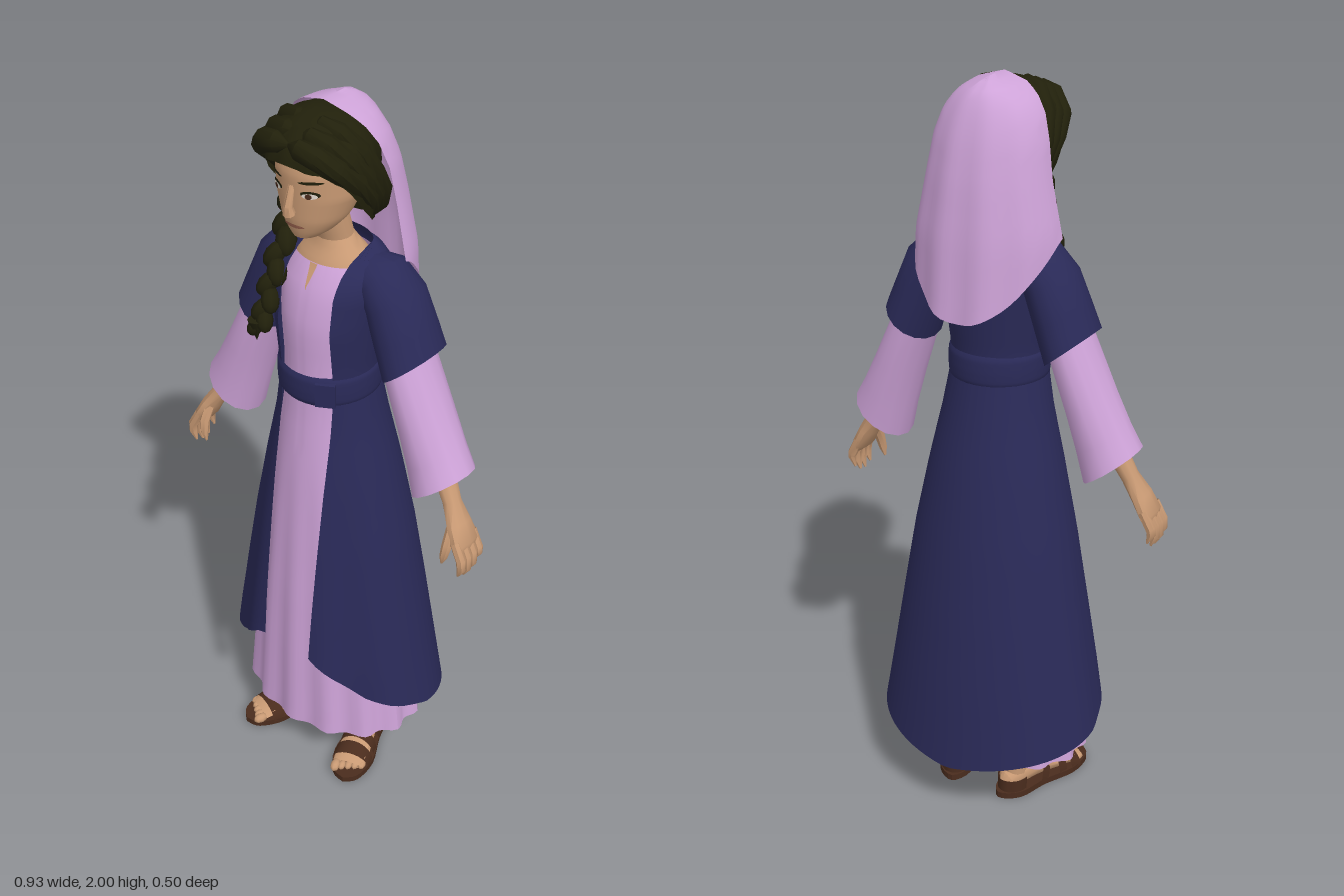
import * as THREE from 'three';
import { toCreasedNormals } from 'three/addons/utils/BufferGeometryUtils.js';

const mat = (name, color) => new THREE.MeshStandardMaterial({ name, color, side: THREE.DoubleSide });
const mix = (a, b, t) => a + (b - a) * t;
const { sin, cos, PI, min, max } = Math;

// Surface from a rule (u, v) -> [x, y, z]
function grid(nu, nv, fn, crease = 0.6) {
  const pos = [], idx = [];
  for (let j = 0; j <= nv; j++) for (let i = 0; i <= nu; i++) pos.push(...fn(i / nu, j / nv));
  for (let j = 0; j < nv; j++) for (let i = 0; i < nu; i++) {
    const a = j * (nu + 1) + i, c = a + nu + 1;
    idx.push(a, a + 1, c + 1, a, c + 1, c);
  }
  const g = new THREE.BufferGeometry();
  g.setAttribute('position', new THREE.Float32BufferAttribute(pos, 3));
  g.setIndex(idx);
  return toCreasedNormals(g, crease);
}

// Interpolate a table whose first column rises
function at(rows, y) {
  let i = 0;
  while (i < rows.length - 2 && y > rows[i + 1][0]) i++;
  const a = rows[i], b = rows[i + 1], t = min(1, max(0, (y - a[0]) / (b[0] - a[0])));
  return a.map((p, k) => mix(p, b[k], t));
}

// Point on an upright shell; rows are [y, halfWidth, zFront, zBack], angle 0 faces front
function shellPoint(rows, a, y, k = 1) {
  const [, hx, zf, zb] = at(rows, y);
  return [hx * k * sin(a), y, (zf + zb) / 2 + (zf - zb) / 2 * k * cos(a)];
}
const shell = (rows, nu, nv, ripple = () => 1) => grid(nu, nv, (u, v) => {
  const a = u * 2 * PI, y = mix(rows[0][0], rows[rows.length - 1][0], v);
  return shellPoint(rows, a, y, ripple(a, y));
});

// Tube along points [x, y, z, r1, r2, skew]
function limb(pts, n = 10, ref = [0, 0, 1]) {
  const P = pts.map(p => new THREE.Vector3(p[0], p[1], p[2])), R = new THREE.Vector3(...ref);
  const frames = P.map((p, i) => {
    const t = P[min(i + 1, P.length - 1)].clone().sub(P[max(i - 1, 0)]).normalize();
    const e1 = R.clone().cross(t).normalize();
    return [t, e1, t.clone().cross(e1)];
  });
  return grid(n, pts.length - 1, (u, v) => {
    const i = Math.round(v * (pts.length - 1)), [t, e1, e2] = frames[i], a = u * 2 * PI;
    const [, , , r1, r2 = r1, skew = 0] = pts[i];
    return P[i].clone().addScaledVector(e1, r1 * cos(a)).addScaledVector(e2, r2 * sin(a))
      .addScaledVector(t, skew * cos(a)).toArray();
  }, 0.8);
}
const flip = (s, pts) => pts.map(([x, y, z, r1, r2 = r1, k = 0]) => [x * s, y, z, r1, r2, k * s]);

export function createModel() {
  const root = new THREE.Group();
  const skin = mat('skin', 0xc99a74), lilac = mat('lilac cloth', 0xcea3d8), navy = mat('navy cloth', 0x2a2a58),
    hair = mat('dark hair', 0x21200b), leather = mat('brown leather', 0x4a2c1d),
    white = mat('eye white', 0xe6ddd2), lip = mat('lip', 0x9c6450);
  const add = (name, geo, m, parent = root) => {
    const mesh = new THREE.Mesh(geo, m);
    mesh.name = name;
    parent.add(mesh);
    return mesh;
  };

  // Head, nose and neck
  const headRows = [[1.683, 0, 0.13, 0.11], [1.69, 0.03, 0.155, 0.07], [1.71, 0.056, 0.163, 0.04], [1.74, 0.08, 0.17, 0],
    [1.8, 0.102, 0.174, -0.04], [1.86, 0.106, 0.178, -0.055], [1.92, 0.1, 0.165, -0.06], [1.96, 0.05, 0.1, -0.03]];
  add('head', shell(headRows, 28, 26), skin);
  add('nose', limb([[0, 1.835, 0.172, 0.008], [0, 1.785, 0.186, 0.011, 0.012], [0, 1.767, 0.184, 0.017, 0.014],
    [0, 1.756, 0.172, 0]], 8), skin);
  const neckRows = [[1.56, 0.12, 0.105, -0.075], [1.6, 0.098, 0.09, -0.055], [1.625, 0.07, 0.075, -0.04],
    [1.65, 0.046, 0.068, -0.025], [1.74, 0.041, 0.1, 0]];
  add('neck', shell(neckRows, 18, 12), skin);

  // Painted face details laid on the head surface
  const decal = (name, m, cx, cy, rx, ry, lift, slope = 0) => add(name, grid(14, 3, (u, v) => {
    const a = u * 2 * PI, dx = rx * (1 - v) * cos(a), x = cx + dx, y = cy + ry * (1 - v) * sin(a) + slope * dx;
    const p = shellPoint(headRows, Math.asin(x / at(headRows, y)[1]), y);
    return [x, y, p[2] + lift];
  }), m);
  for (const s of [1, -1]) {
    decal('eyeLash', hair, s * 0.047, 1.821, 0.021, 0.009, 0.003);
    decal('eyeWhite', white, s * 0.047, 1.818, 0.017, 0.007, 0.005);
    decal('iris', leather, s * 0.046, 1.818, 0.007, 0.007, 0.007);
    decal('eyebrow', hair, s * 0.049, 1.851, 0.026, 0.004, 0.004, s * 0.05);
  }
  decal('mouth', lip, 0, 1.73, 0.03, 0.005, 0.004);

  // Skullcap of hair with a swept hairline
  const hairEdge = [[0, 1.895], [0.7, 1.88], [1.1, 1.845], [1.5, 1.775], [1.9, 1.72], [3.2, 1.68]];
  add('hair', grid(48, 14, (u, v) => {
    const a = u * 2 * PI, low = at(hairEdge, min(a, 2 * PI - a))[1], y = mix(low, 1.988, sin(v * PI / 2));
    const d = y - 1.87, r = d > 0 ? Math.sqrt(max(0, 1 - (d / 0.118) ** 2)) : 1 - 4 * d * d;
    const k = r * (1 + 0.02 * cos(14 * a));
    return [0.135 * k * sin(a), y, 0.068 + 0.132 * k * cos(a)];
  }), hair);
  // Locks swept back from the centre parting
  for (const s of [1, -1]) for (let k = 0; k < 3; k++) {
    const dz = -0.04 * k, dy = 0.013 * k;
    add('hairLock', limb(flip(s, [[0.002, 1.935 + dy, 0.18 + dz, 0.006], [0.03, 1.935 + dy, 0.184 + dz, 0.026, 0.022],
      [0.07, 1.924 + dy, 0.175 + dz, 0.03, 0.026], [0.108, 1.893 + dy * 0.6, 0.145 + dz, 0.026, 0.027],
      [0.124, 1.85, 0.095 + dz * 0.8, 0.023, 0.027], [0.12, 1.795, 0.045 + dz * 0.6, 0.023, 0.025],
      [0.105, 1.745, 0.012 + dz * 0.4, 0.018], [0.09, 1.71, -0.005 + dz * 0.2, 0.002]]), 9), hair);
  }
  // Side braid made of alternating plaits
  const braidPath = new THREE.CatmullRomCurve3([[-0.112, 1.76, 0.02], [-0.113, 1.67, 0.045], [-0.1, 1.57, 0.12],
    [-0.095, 1.47, 0.17], [-0.106, 1.4, 0.19]].map(p => new THREE.Vector3(...p)));
  for (let i = 0; i < 13; i++) {
    const p = braidPath.getPoint(i / 13), r = mix(0.034, 0.022, i / 12), s = i % 2 ? 1 : -1;
    const plait = add('braidPlait', new THREE.SphereGeometry(r, 8, 6), hair);
    plait.position.set(p.x + s * 0.009, p.y, p.z);
    plait.scale.set(0.9, 1.4, 1);
    plait.rotation.set(-0.5, 0, s * 0.4);
  }
  const tail = add('braidEnd', new THREE.ConeGeometry(0.022, 0.06, 8), hair);
  tail.position.set(-0.107, 1.412, 0.19);
  tail.rotation.x = PI;

  // Veil, open at the front and pointed at the back; rows are [y, halfWidth, zEdge, zBack]
  const veilRows = [[1.43, 0.2, -0.005, -0.176], [1.63, 0.195, 0, -0.16], [1.77, 0.165, 0, -0.14], [1.86, 0.15, 0.01, -0.12],
    [1.92, 0.13, 0.025, -0.1], [1.96, 0.1, 0.04, -0.08], [1.985, 0.06, 0.055, -0.06], [2, 0, 0.06, -0.015]];
  add('veil', grid(28, 18, (u, v) => {
    const a = mix(PI / 2, 1.5 * PI, u), c = max(0, -cos(a)), y = mix(1.63 - 0.2 * c ** 1.4, 2, 1 - (1 - v) ** 1.4);
    const [, hx, ze, zb] = at(veilRows, y);
    return [hx * sin(a), y, mix(ze, zb, c) + 0.006 * (1 - v) * cos(10 * a) * c];
  }), lilac);

  // Gown with a rippled hem
  const gownRows = [[0.15, 0.262, 0.22, -0.175], [0.4, 0.236, 0.212, -0.168], [0.6, 0.21, 0.203, -0.155], [0.8, 0.182, 0.19, -0.135],
    [1, 0.15, 0.175, -0.11], [1.2, 0.118, 0.155, -0.078], [1.32, 0.114, 0.152, -0.075], [1.45, 0.125, 0.155, -0.085],
    [1.55, 0.133, 0.132, -0.085], [1.6, 0.105, 0.1, -0.065]];
  add('gown', shell(gownRows, 84, 32, (a, y) => 1 + 0.045 * max(0, 1 - y / 1.1) * cos(14 * a)), lilac);
  add('necklineSlit', grid(2, 6, (u, v) => {
    const y = mix(1.54, 1.602, v);
    return [0.005 + (u - 0.5) * 0.022 * v, y, at(gownRows, y)[2] + 0.005];
  }), skin);

  // Open overcoat: bodice and skirt share a front gap
  const gap = hx => [Math.asin(min(1, 0.085 / hx)), 2 * PI - Math.asin(min(1, 0.065 / hx))];
  const bodiceRows = [[1.26, 0.125, 0.166, -0.085], [1.32, 0.125, 0.168, -0.085], [1.45, 0.14, 0.175, -0.1],
    [1.55, 0.155, 0.152, -0.103], [1.6, 0.145, 0.112, -0.092], [1.635, 0.085, 0.05, -0.06]];
  add('coatBodice', grid(36, 16, (u, v) => {
    const y = mix(1.26, 1.635, v), [a0, a1] = gap(at(bodiceRows, y)[1]);
    return shellPoint(bodiceRows, mix(a0, a1, u), y);
  }), navy);
  const coatRows = [[0.17, 0.33, 0.262, -0.25], [0.4, 0.29, 0.255, -0.227], [0.6, 0.256, 0.237, -0.203], [0.8, 0.222, 0.215, -0.175],
    [1, 0.18, 0.192, -0.14], [1.15, 0.145, 0.172, -0.108], [1.26, 0.125, 0.166, -0.088]];
  const hemRows = [[0, 0.47], [0.3, 0.46], [0.85, 0.33], [1.57, 0.25], [3.15, 0.17]];
  add('coatSkirt', grid(72, 18, (u, v) => {
    const [a0, a1] = gap(at(coatRows, mix(0.46, 1.26, v))[1]), a = mix(a0, a1, u);
    const y = mix(at(hemRows, min(a, 2 * PI - a))[1], 1.26, v);
    const fold = -0.05 * max(0, cos(a)) * (1 - v) * cos(8 * a);
    return shellPoint(coatRows, a, y, 1 + fold);
  }), navy);
  // Belt and its knot
  const beltRows = [[1.235, 0.122, 0.164, -0.086], [1.245, 0.13, 0.172, -0.093], [1.275, 0.131, 0.174, -0.094],
    [1.31, 0.13, 0.173, -0.092], [1.32, 0.122, 0.166, -0.086]];
  add('belt', shell(beltRows, 36, 10), navy);
  const knot = add('beltKnot', new THREE.BoxGeometry(0.05, 0.065, 0.016), navy);
  knot.position.set(0.075, 1.277, 0.15);
  knot.rotation.y = 0.5;

  for (const s of [1, -1]) {
    // Arms: coat sleeve, wide gown sleeve, forearm and hand
    const arm = new THREE.Group();
    arm.name = s > 0 ? 'leftArm' : 'rightArm';
    root.add(arm);
    add('coatSleeve', limb(flip(s, [[0.08, 1.575, 0.005, 0.045, 0.06], [0.13, 1.565, 0.003, 0.062, 0.08], [0.168, 1.52, 0, 0.068, 0.09],
      [0.2, 1.44, 0, 0.07, 0.096], [0.23, 1.36, 0, 0.073, 0.1, -0.025]]), 16), navy, arm);
    add('gownSleeve', limb(flip(s, [[0.19, 1.45, 0.005, 0.055, 0.075], [0.228, 1.35, 0.008, 0.057, 0.083], [0.28, 1.22, 0.01, 0.066, 0.084],
      [0.315, 1.13, 0.012, 0.075, 0.083, -0.012], [0.342, 1.06, 0.015, 0.086, 0.086, -0.025]]), 14), lilac, arm);
    add('forearm', limb(flip(s, [[0.27, 1.24, 0.01, 0.032, 0.036], [0.335, 1.12, 0.02, 0.028, 0.034], [0.382, 1.03, 0.033, 0.022, 0.027],
      [0.412, 0.98, 0.042, 0.024, 0.04], [0.436, 0.935, 0.046, 0.023, 0.048], [0.443, 0.912, 0.046, 0.008, 0.04]])), skin, arm);
    for (let i = 0; i < 4; i++) {
      const z = 0.082 - 0.024 * i, d = [0.01, 0, 0.004, 0.022][i];
      add('finger', limb(flip(s, [[0.43, 0.95, z, 0.013, 0.012], [0.454, 0.905, z + 0.003, 0.0135], [0.456, 0.87 + d, z + 0.003, 0.012],
        [0.446, 0.842 + d, z + 0.002, 0.003]]), 7), skin, arm);
    }
    add('thumb', limb(flip(s, [[0.408, 0.98, 0.062, 0.015], [0.41, 0.935, 0.085, 0.014], [0.406, 0.9, 0.092, 0.011],
      [0.4, 0.876, 0.092, 0.003]]), 7), skin, arm);

    // Leg, foot and toes
    const foot = new THREE.Group();
    foot.name = s > 0 ? 'leftFoot' : 'rightFoot';
    foot.position.set(s * 0.13, 0, 0.06);
    foot.rotation.y = s * 0.33;
    root.add(foot);
    add('leg', limb([[0, 0.4, -0.09, 0.045], [0, 0.2, -0.1, 0.038], [0, 0.12, -0.1, 0.03, 0.035], [0, 0.05, -0.095, 0.031, 0.04]], 12), skin, foot);
    add('footBody', limb([[0, 0.038, -0.148, 0.012], [0, 0.044, -0.135, 0.029, 0.027], [0, 0.053, -0.09, 0.034, 0.036],
      [0, 0.056, -0.04, 0.036, 0.038], [0, 0.043, 0.03, 0.043, 0.027], [0, 0.033, 0.09, 0.048, 0.018], [0, 0.028, 0.12, 0.045, 0.011]],
      12, [0, 1, 0]), skin, foot);
    for (let i = 0; i < 5; i++) {
      const toe = add('toe', new THREE.SphereGeometry(i ? 0.011 : 0.014, 8, 6), skin, foot);
      toe.position.set(s * (-0.033 + 0.0175 * i), 0.027, 0.135 - 0.007 * i);
      toe.scale.z = 1.6;
    }
    // Sandal sole and straps
    const outline = new THREE.Shape();
    outline.setFromPoints(new THREE.SplineCurve([[0, 0.165], [0.037, 0.142], [0.058, 0.07], [0.045, -0.03], [0.044, -0.12], [0, -0.168],
      [-0.044, -0.12], [-0.045, -0.03], [-0.058, 0.07], [-0.037, 0.142], [0, 0.165]].map(p => new THREE.Vector2(...p))).getPoints(40));
    const sole = add('sandalSole', new THREE.ExtrudeGeometry(outline, { depth: 0.018, bevelEnabled: false }), leather, foot);
    sole.rotation.x = PI / 2;
    sole.position.y = 0.018;
    const strap = (z, rx, h, lean, w) => add('sandalStrap', grid(14, 2, (u, v) =>
      [rx * cos(u * PI), 0.01 + h * sin(u * PI) - (v - 0.5) * w * 0.5 * sin(u * PI), z + (v - 0.5) * w + lean * sin(u * PI)]), leather, foot);
    strap(0.085, 0.056, 0.051, 0, 0.034);
    strap(0.038, 0.053, 0.068, 0, 0.028);
    strap(-0.03, 0.046, 0.084, 0.025, 0.026);
    add('heelStrap', grid(14, 1, (u, v) => {
      const a = mix(0.4, 1.6, u) * PI;
      return [0.041 * sin(a), mix(0.015, 0.055, v), -0.108 + 0.048 * cos(a)];
    }), leather, foot);
    const ankle = add('ankleStrap', new THREE.TorusGeometry(0.036, 0.008, 6, 18), leather, foot);
    ankle.position.set(0, 0.095, -0.092);
    ankle.rotation.x = PI / 2 + 0.25;
    ankle.scale.y = 1.15;
  }
  return root;
}
